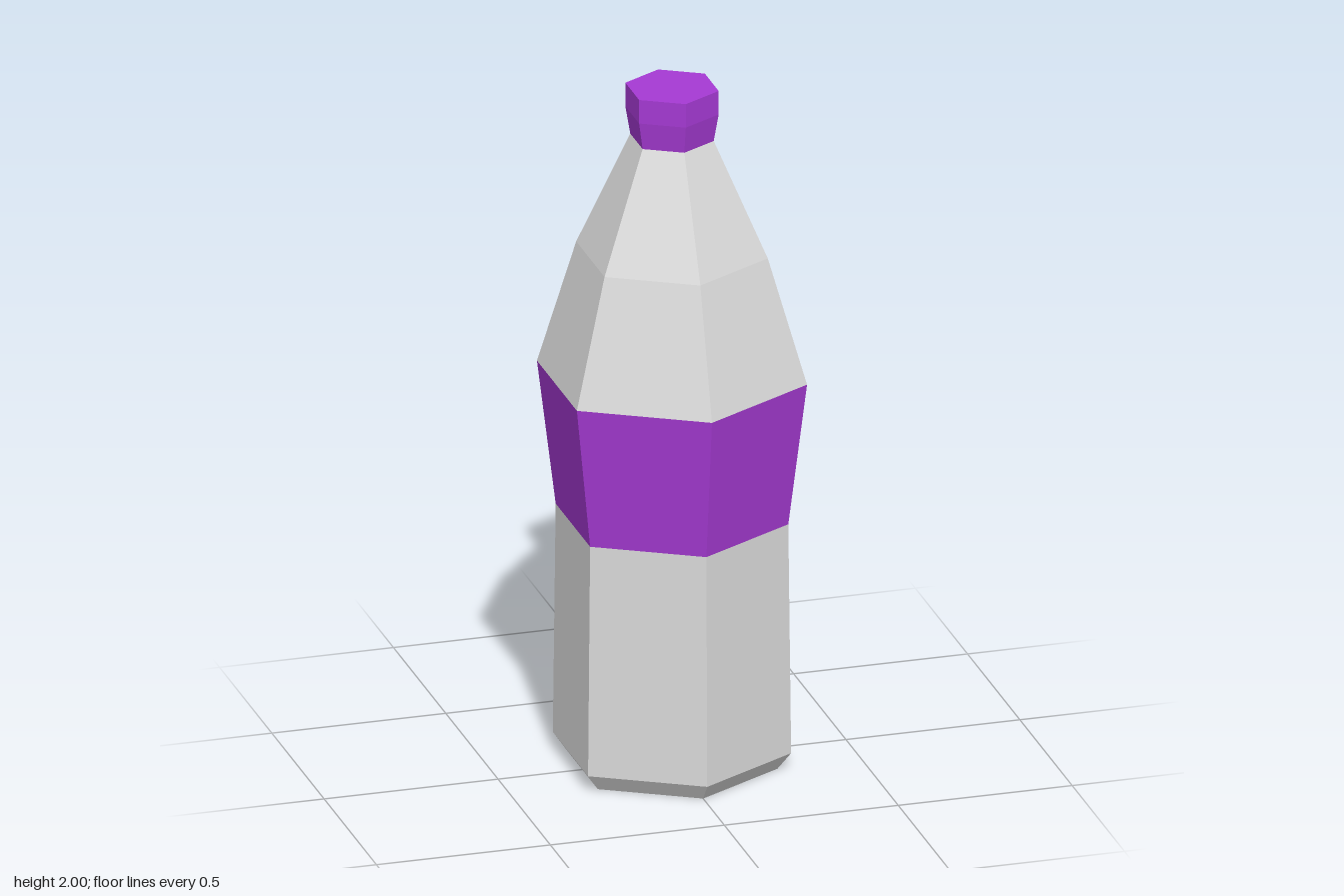
import * as THREE from 'three';

const SIDES = 6;

export function createModel() {
  const glass = new THREE.MeshStandardMaterial({ color: 0xdadada, flatShading: true });
  glass.name = 'light grey';
  const purple = new THREE.MeshStandardMaterial({ color: 0xa63ad4, flatShading: true });
  purple.name = 'purple';

  const bottle = new THREE.Group();
  bottle.name = 'bottle';

  // Six-sided section from a [radius, height] profile, listed bottom to top
  function section(name, material, profile) {
    const points = profile.map(([r, y]) => new THREE.Vector2(r, y));
    const mesh = new THREE.Mesh(new THREE.LatheGeometry(points, SIDES), material);
    mesh.name = name;
    bottle.add(mesh);
  }

  // Closed bottom, chamfer and lower wall
  section('lowerBody', glass, [[0, 0], [0.298, 0], [0.337, 0.05], [0.329, 0.73]]);
  // Flared label band
  section('labelBand', purple, [[0.329, 0.73], [0.382, 1.15]]);
  // Shoulder tapering into the neck
  section('shoulder', glass, [[0.382, 1.15], [0.271, 1.515], [0.118, 1.85]]);
  // Cap with closed top
  section('cap', purple, [[0.118, 1.85], [0.132, 1.93], [0.132, 2], [0, 2]]);

  return bottle;
}
